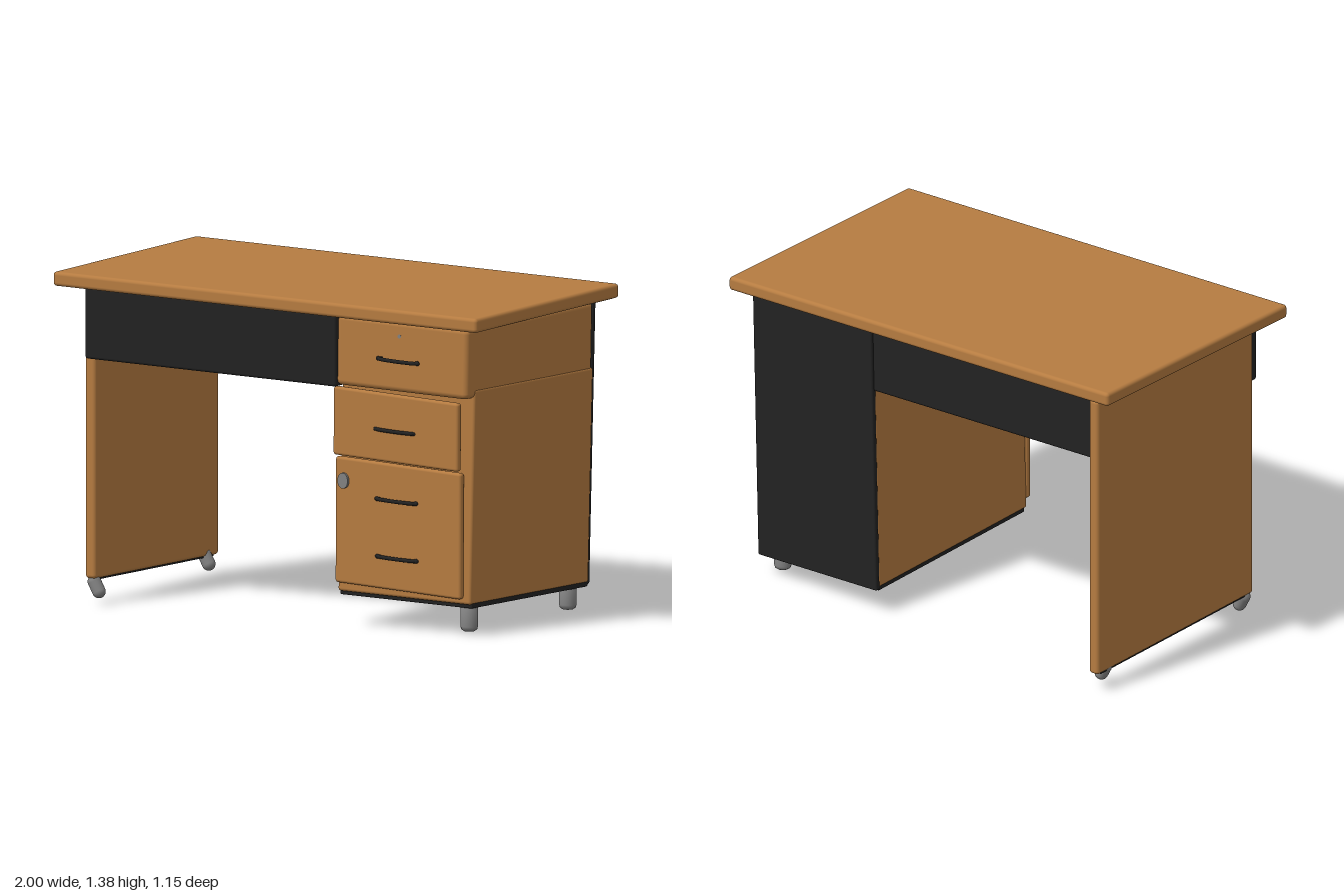
import * as THREE from 'three';
import { RoundedBoxGeometry } from 'three/addons/geometries/RoundedBoxGeometry.js';

export function createModel() {
  const desk = new THREE.Group();
  desk.name = 'desk';
  const material = (name, color) => {
    const m = new THREE.MeshStandardMaterial({ color });
    m.name = name;
    return m;
  };
  const wood = material('wood', 0xb67c41);
  const black = material('black', 0x222222);
  const metal = material('metal', 0x828282);

  const add = (name, geometry, mat, parent = desk) => {
    const mesh = new THREE.Mesh(geometry, mat);
    mesh.name = name;
    parent.add(mesh);
    return mesh;
  };

  // Rounded board given by its mean extents, sheared to give the slightly crooked build.
  // yx, yz: rise of y along x and z; xy, zy: lean of x and z along y.
  function board(name, mat, [x0, x1], [y0, y1], [z0, z1], radius, lean = {}) {
    const { yx = 0, yz = 0, xy = 0, zy = 0 } = lean;
    const w = x1 - x0, h = y1 - y0, d = z1 - z0;
    const geo = new RoundedBoxGeometry(w, h, d, 3, Math.min(radius, w * 0.45, h * 0.45, d * 0.45));
    const p = geo.attributes.position;
    for (let i = 0; i < p.count; i++) {
      const x = p.getX(i), y = p.getY(i), z = p.getZ(i);
      p.setXYZ(i, x + xy * y, y + yx * x + yz * z, z + zy * y);
    }
    geo.translate((x0 + x1) / 2, (y0 + y1) / 2, (z0 + z1) / 2);
    return add(name, geo, mat);
  }

  // Top and left side panel
  board('tabletop', wood, [-1, 1], [1.293, 1.352], [-0.58, 0.575], 0.015, { yx: -0.0235 });
  board('sidePanel', wood, [-0.915, -0.865], [0.092, 1.315], [-0.54, 0.46], 0.015, { yz: 0.025 });
  board('sidePanelBase', black, [-0.906, -0.874], [0.086, 0.096], [-0.51, 0.43], 0.002, { yz: 0.025 });

  // Wide dark drawer over the knee space
  board('centreDrawer', black, [-0.875, 0.31], [1.005, 1.302], [-0.5, 0.53], 0.012, { yx: -0.024, yz: 0.003 });

  // Drawer cabinet
  const tilt = { yx: -0.0225, yz: 0.03, xy: 0.025 };
  board('cabinet', wood, [0.289, 0.916], [0.122, 1.01], [-0.495, 0.46], 0.012, tilt);
  board('cabinetBase', black, [0.281, 0.903], [0.106, 0.13], [-0.49, 0.445], 0.006, tilt);
  board('cabinetBack', black, [0.289, 0.914], [0.1, 1.275], [-0.513, -0.488], 0.008, { yx: -0.0225, xy: 0.025 });
  board('topDrawer', wood, [0.306, 0.926], [0.985, 1.275], [-0.493, 0.52], 0.022, { yx: -0.03, yz: 0.013, xy: 0.02 });
  const front = { yx: -0.05, xy: 0.025, zy: 0.03 };
  board('middleDrawerFront', wood, [0.298, 0.888], [0.699, 0.982], [0.5, 0.533], 0.012, front);
  board('doorFront', wood, [0.285, 0.878], [0.167, 0.689], [0.461, 0.494], 0.012, { ...front, zy: 0.035 });

  // Bow handles with two mounting posts
  const handles = [
    ['topHandle', 0.605, 1.122, 0.52],
    ['middleHandle', 0.588, 0.831, 0.513],
    ['doorUpperHandle', 0.579, 0.539, 0.487],
    ['doorLowerHandle', 0.576, 0.301, 0.478],
  ];
  for (const [name, x, y, z] of handles) {
    const handle = new THREE.Group();
    handle.name = name;
    handle.position.set(x, y, z);
    handle.rotation.z = -0.045;
    desk.add(handle);
    const bow = new THREE.CatmullRomCurve3([
      [-0.094, 0.012], [-0.078, 0.023], [-0.04, 0.029], [0, 0.031],
      [0.04, 0.029], [0.078, 0.023], [0.094, 0.012],
    ].map(([a, b]) => new THREE.Vector3(a, 0, b)));
    add('handleBar', new THREE.TubeGeometry(bow, 24, 0.008, 10), black, handle);
    for (const side of [-1, 1]) {
      const post = new THREE.CylinderGeometry(0.008, 0.008, 0.06, 12).rotateX(Math.PI / 2);
      add('handlePost', post.translate(side * 0.084, 0, -0.012), black, handle);
      add('handleEnd', new THREE.SphereGeometry(0.0095, 12, 8).translate(side * 0.092, 0, 0.014), black, handle);
    }
  }

  // Locks
  const lock = add('doorLock', new THREE.CylinderGeometry(0.024, 0.024, 0.03, 24).rotateX(Math.PI / 2), metal);
  lock.scale.y = 1.35;
  lock.position.set(0.332, 0.606, 0.498);
  const smallLock = add('drawerLock', new THREE.CylinderGeometry(0.008, 0.008, 0.008, 16).rotateX(Math.PI / 2), metal);
  smallLock.position.set(0.605, 1.222, 0.518);

  // Feet with rounded lower ends
  const footProfile = (r, h) => new THREE.LatheGeometry([
    [0, 0], [0.6, 0.05], [0.9, 0.25], [1, 0.6],
  ].map(([a, b]) => new THREE.Vector2(a * r, b * r)).concat(
    [new THREE.Vector2(r, h), new THREE.Vector2(0, h)]), 24);
  for (const [name, z, y] of [['cabinetFootFront', 0.4, 0.012], ['cabinetFootBack', -0.395, 0]]) {
    add(name, footProfile(0.036, 0.11), metal).position.set(0.864, y, z);
  }
  for (const [name, z] of [['panelFootFront', 0.43], ['panelFootBack', -0.455]]) {
    const foot = add(name, new THREE.CapsuleGeometry(0.028, 0.045, 6, 18), metal);
    foot.position.set(-0.876, 0.07, z);
    foot.rotation.z = 0.5;
  }
  return desk;
}
